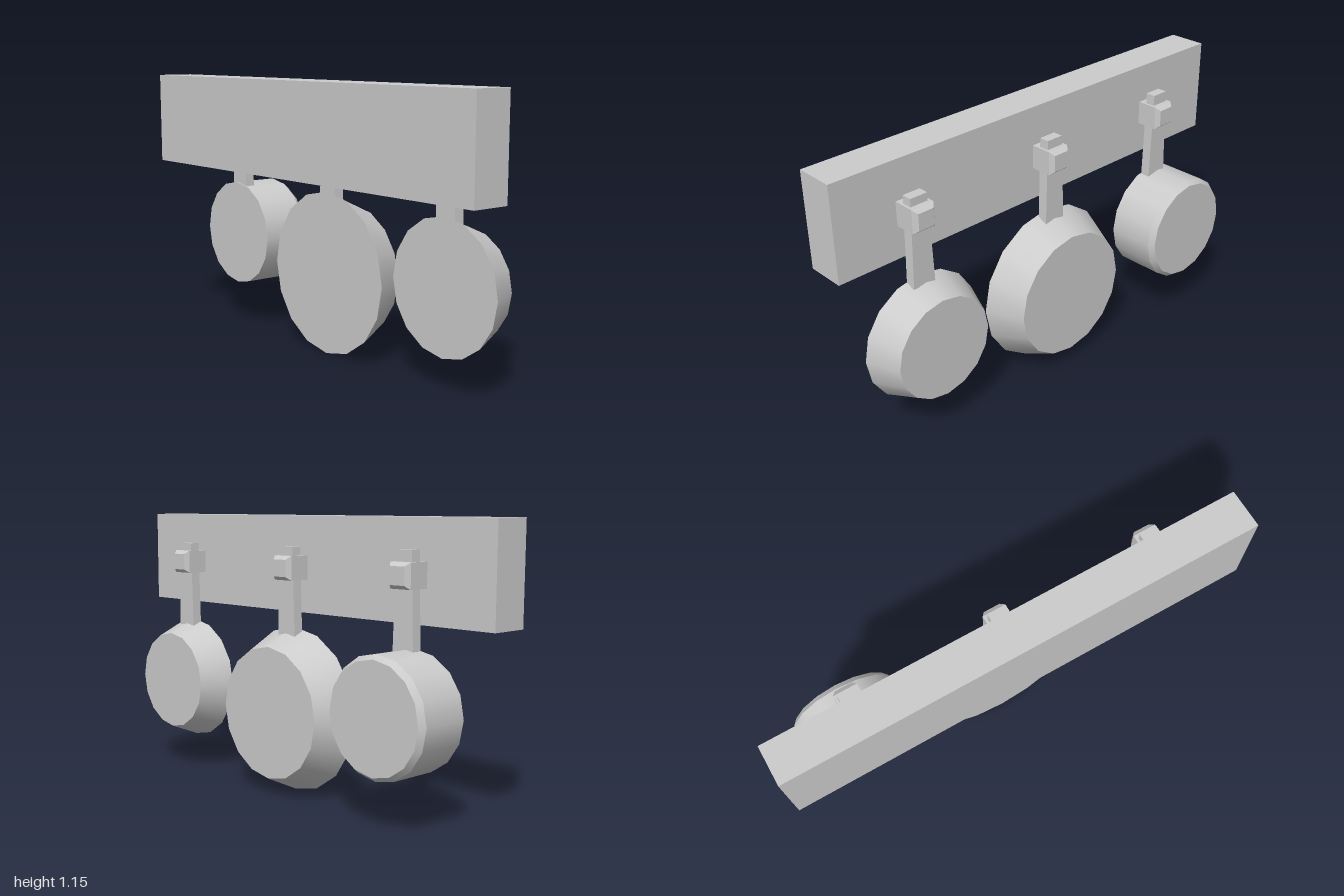
import * as THREE from 'three';

const mat = new THREE.MeshStandardMaterial({ color: 0xcccccc });
const flatMat = new THREE.MeshStandardMaterial({ color: 0xcccccc, flatShading: true });
const SIDES = 16;

function add(parent, name, geometry, material, x, y, z) {
  const mesh = new THREE.Mesh(geometry, material);
  mesh.name = name;
  mesh.position.set(x, y, z);
  parent.add(mesh);
  return mesh;
}

// Box running from x0 to x1 whose far end is scaled inward by `taper`
function peg(x0, x1, size, taper) {
  const g = new THREE.CylinderGeometry(size * taper * Math.SQRT1_2, size * Math.SQRT1_2, x1 - x0, 4);
  return g.rotateY(Math.PI / 4).rotateZ(-Math.PI / 2).translate((x0 + x1) / 2, 0, 0);
}

// Round pan body along x from profile points [x, radius], closed at both ends
function pan(name, y, z, profile) {
  const group = new THREE.Group();
  group.name = name;
  for (let i = 0; i < profile.length - 1; i++) {
    const [x0, r0] = profile[i], [x1, r1] = profile[i + 1];
    const wall = new THREE.CylinderGeometry(r1, r0, x1 - x0, SIDES, 1, true).rotateZ(-Math.PI / 2);
    add(group, i ? 'bottomBevel' : 'panWall', wall, mat, (x0 + x1) / 2, y, z);
  }
  const ends = [['panMouth', profile[0], -1], ['panBottom', profile[profile.length - 1], 1]];
  for (const [label, [x, r], dir] of ends) {
    add(group, label, new THREE.CircleGeometry(r, SIDES).rotateY(dir * Math.PI / 2), mat, x, y, z);
  }
  return group;
}

// Flat handle that widens towards the pan
function handle(y0, y1, zBottom, zTop) {
  const g = new THREE.BoxGeometry(0.043, y1 - y0, 1);
  const p = g.attributes.position;
  for (let i = 0; i < p.count; i++) {
    const top = p.getY(i) > 0;
    p.setZ(i, p.getZ(i) * (top ? 0.076 : 0.1) + (top ? zTop : zBottom));
  }
  g.computeVertexNormals();
  return g.translate(0.0065, (y0 + y1) / 2, 0);
}

export function createModel() {
  const model = new THREE.Group();

  // Wall board
  add(model, 'wallBoard', new THREE.BoxGeometry(0.165, 0.4, 2), mat, -0.1275, 0.955, 0);

  // Three hanging pans, each with a handle and a peg
  const pans = [
    { name: 'smallPan', y: 0.405, z: 0.673, pegZ: 0.68, top: 1.025, low: 0.65,
      profile: [[-0.015, 0.27], [0.122, 0.215]] },
    { name: 'largePan', y: 0.348, z: 0, pegZ: 0, top: 1.03, low: 0.66,
      profile: [[-0.022, 0.346], [0.13, 0.276]] },
    { name: 'deepPot', y: 0.433, z: -0.655, pegZ: -0.638, top: 1.037, low: 0.65,
      profile: [[-0.02, 0.236], [0.185, 0.236], [0.208, 0.218]] },
  ];
  for (const d of pans) {
    const unit = pan(d.name, d.y, d.z, d.profile);
    add(unit, 'handle', handle(d.low, d.top, d.pegZ, d.pegZ), flatMat, 0, 0, 0);
    add(unit, 'peg', peg(-0.046, 0.046, 0.1, 1), flatMat, 0, 0.942, d.pegZ);
    add(unit, 'pegTip', peg(0.046, 0.065, 0.1, 0.7), flatMat, 0, 0.942, d.pegZ);
    model.add(unit);
  }
  return model;
}
